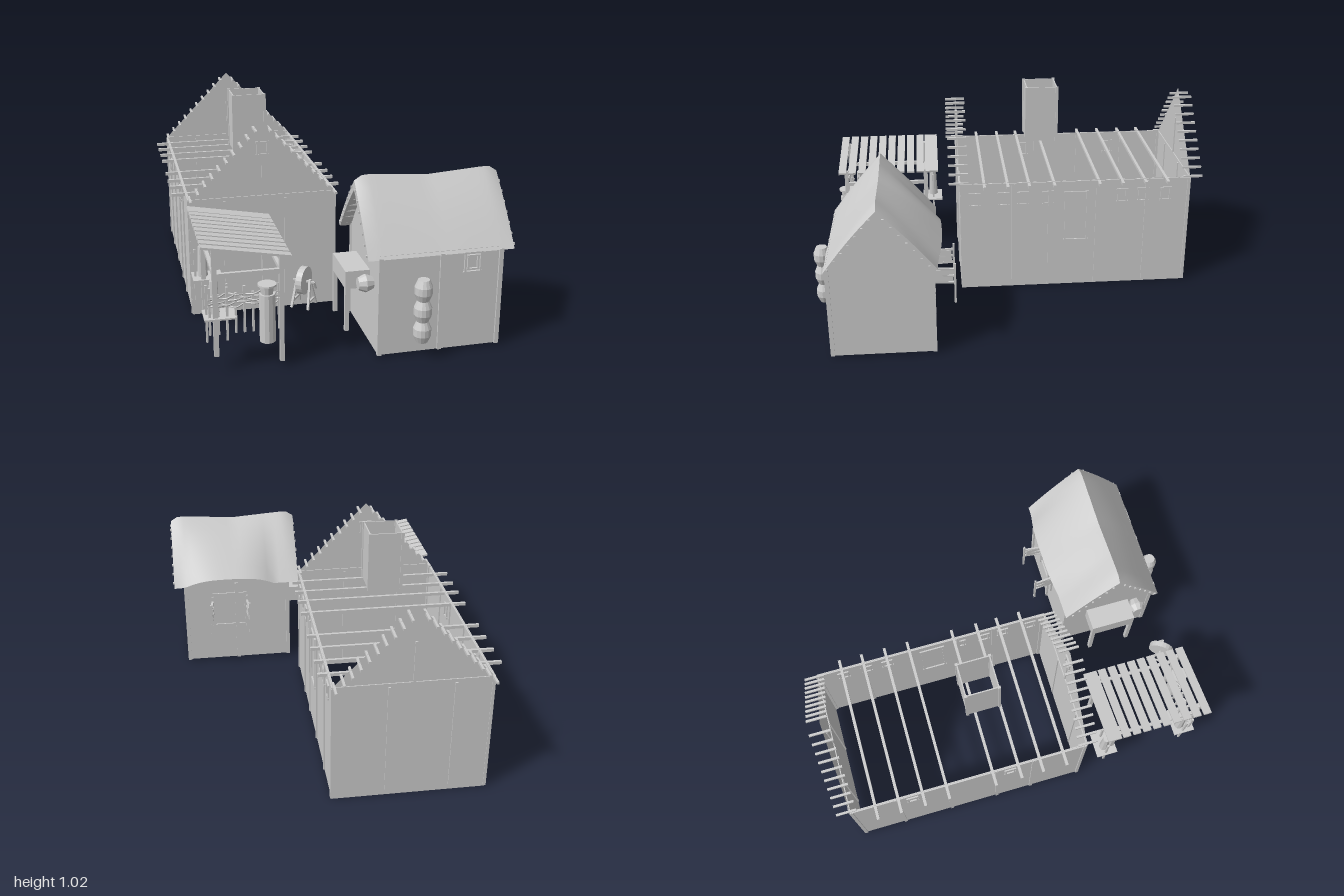
import * as THREE from 'three';
import { toCreasedNormals } from 'three/addons/utils/BufferGeometryUtils.js';

const mat = new THREE.MeshStandardMaterial({ color: 0xcccccc, flatShading: true });
const sheet = new THREE.MeshStandardMaterial({ color: 0xcccccc, side: THREE.DoubleSide });

function group(parent, name, x = 0, y = 0, z = 0) {
  const g = new THREE.Group();
  g.name = name;
  g.position.set(x, y, z);
  parent.add(g);
  return g;
}
function add(parent, name, geo, x = 0, y = 0, z = 0, m = mat) {
  const mesh = new THREE.Mesh(geo, m);
  mesh.name = name;
  mesh.position.set(x, y, z);
  parent.add(mesh);
  return mesh;
}
// box given by its min and max on each axis
function span(parent, name, x0, x1, y0, y1, z0, z1) {
  return add(parent, name, new THREE.BoxGeometry(x1 - x0, y1 - y0, z1 - z0),
    (x0 + x1) / 2, (y0 + y1) / 2, (z0 + z1) / 2);
}
// straight square stick between two points
function stick(parent, name, a, b, t) {
  const p = new THREE.Vector3(...a), q = new THREE.Vector3(...b);
  const m = add(parent, name, new THREE.BoxGeometry(t, p.distanceTo(q), t));
  m.position.lerpVectors(p, q, 0.5);
  m.quaternion.setFromUnitVectors(new THREE.Vector3(0, 1, 0), q.sub(p).normalize());
  return m;
}
// thin flat wall from outline points, facing z or (side) x
function wall(parent, name, pts, at, side) {
  const geo = new THREE.ShapeGeometry(new THREE.Shape(pts.map(p => new THREE.Vector2(...p))));
  if (side) geo.rotateY(-Math.PI / 2);
  add(parent, name, geo, side ? at : 0, 0, side ? 0 : at, sheet);
}
const rect = (a, b, y0, y1) => [[a, y0], [b, y0], [b, y1], [a, y1]];

function windowFrame(parent, x, y, z, w, h, turn = 0) {
  const g = group(parent, 'windowFrame', x, y, z);
  g.rotation.y = turn;
  for (const s of [-1, 1]) {
    add(g, 'jamb', new THREE.BoxGeometry(0.008, h, 0.014), s * (w / 2 - 0.008), 0, 0);
    add(g, 'rail', new THREE.BoxGeometry(w, 0.008, 0.014), 0, s * (h / 2 - 0.004), 0);
  }
}

function house(root) {
  const g = group(root, 'house');
  const L = -0.67, R = 0.05, F = 0.265, B = -0.935, mid = -0.31;
  for (const z of [F, B]) {
    wall(g, 'gableWall', [[L, 0], [R, 0], [R, 0.6], [mid, 0.97], [L, 0.6]], z);
    span(g, 'gableTie', L, R, 0.59, 0.6, z - 0.005, z + 0.005);
    for (const x of [-0.5, -0.2]) span(g, 'gablePost', x - 0.006, x + 0.006, 0.03, 0.58, z - 0.006, z + 0.006);
    span(g, 'kingPost', mid - 0.006, mid + 0.006, 0.6, 0.8, z - 0.006, z + 0.006);
    // purlin stubs along both slopes
    for (let i = 0; i < 10; i++) for (const s of [-1, 1]) {
      const d = 0.035 + i * 0.0355;
      add(g, 'purlinStub', new THREE.BoxGeometry(0.011, 0.011, 0.1), mid + s * d, 0.965 - d * 1.03, z < 0 ? -0.95 : 0.27);
    }
  }
  for (const x of [L, R]) {
    wall(g, 'sideWall', rect(B, F, 0, 0.6), x, true);
    span(g, 'wallPlate', x - 0.006, x + 0.006, 0.585, 0.598, B, F);
    for (const z of [-0.93, -0.71, -0.45, -0.2, -0.01, 0.255])
      span(g, 'wallPost', x - 0.007, x + 0.007, 0.005, 0.59, z - 0.008, z + 0.008);
  }
  for (const z of [-0.81, -0.695, -0.575, -0.455, -0.22, -0.09, 0.02, 0.14])
    span(g, 'tieBeam', -0.74, 0.1, 0.583, 0.598, z - 0.007, z + 0.007);
  // small windows and a door
  windowFrame(g, mid, 0.835, F, 0.065, 0.07);
  for (const z of [0.19, 0.04, -0.06, -0.19, -0.58, -0.69, -0.81]) windowFrame(g, R, 0.51, z, 0.06, 0.075, Math.PI / 2);
  for (const z of [-0.63, -0.13]) windowFrame(g, L, 0.51, z, 0.06, 0.075, Math.PI / 2);
  windowFrame(g, R, 0.4, -0.34, 0.13, 0.28, Math.PI / 2);

  // hollow chimney with corner strips
  const c = group(g, 'chimney', -0.31, 0.868, -0.185);
  for (const s of [-1, 1]) {
    add(c, 'chimneySide', new THREE.BoxGeometry(0.006, 0.295, 0.16), s * 0.079, 0, 0);
    add(c, 'chimneyFace', new THREE.BoxGeometry(0.16, 0.295, 0.006), 0, 0, s * 0.079);
    for (const t of [-1, 1]) add(c, 'chimneyCorner', new THREE.BoxGeometry(0.014, 0.3, 0.014), s * 0.08, 0, t * 0.08);
  }
}

// sagging thatch shell, lifted over the rear windows
function thatch(parent) {
  const N = 20, n = 6, pos = [], idx = [], ring = 4 * n + 2;
  for (let s = 0; s <= N; s++) {
    const u = s / N, x = 0.04 + 0.685 * u, e = Math.abs(2 * u - 1);
    const h = 0.775 + 0.025 * e - 0.03 * Math.pow(e, 16);
    const bump = Math.max(0, 1 - Math.pow(Math.abs(u - 0.56) / 0.36, 3));
    const outer = [];
    for (let i = 0; i <= 2 * n; i++) {
      const t = Math.abs(i / n - 1), f = i < n;
      const z = f ? 0.655 + 0.25 * t : 0.655 - (0.265 + 0.025 * bump) * t;
      const low = f ? 0.475 : 0.475 + 0.05 * bump;
      outer.push([z, h + (low - h) * t + 0.012 * Math.sin(Math.PI * t)]);
    }
    const inner = outer.map(([z, y], i) => {
      const k = 1 - Math.abs(i / n - 1);
      return [z + (z > 0.655 ? -0.025 : 0.025) * (1 - k), y - 0.01 - 0.035 * k];
    }).reverse();
    for (const [z, y] of [...outer, ...inner]) pos.push(x, y, z);
  }
  for (let s = 0; s < N; s++) for (let r = 0; r < ring; r++) {
    const a = s * ring + r, b = s * ring + (r + 1) % ring;
    idx.push(a, a + ring, b, b, a + ring, b + ring);
  }
  for (let r = 0; r < 2 * n; r++) for (const s of [0, N]) {
    const o = s * ring, a = o + r, b = a + 1, c = o + ring - 1 - r, d = c - 1;
    if (s) idx.push(a, c, b, b, c, d); else idx.push(a, b, c, b, d, c);
  }
  const geo = new THREE.BufferGeometry();
  geo.setAttribute('position', new THREE.Float32BufferAttribute(pos, 3));
  geo.setIndex(idx);
  add(parent, 'thatchRoof', toCreasedNormals(geo, 0.7), 0, 0, 0, sheet);
}

function hut(root) {
  const g = group(root, 'hut');
  const L = 0.095, R = 0.67, F = 0.895, B = 0.415;
  wall(g, 'frontWall', rect(L, R, 0.01, 0.49), F);
  wall(g, 'rearWall', rect(L, R, 0.01, 0.5), B);
  for (const x of [L, R]) {
    wall(g, 'endWall', [[B, 0.01], [F, 0.01], [F, 0.48], [0.655, 0.75], [B, 0.48]], x, true);
    for (let i = 0; i < 7; i++) for (const s of [-1, 1]) {
      const d = 0.03 + i * 0.033;
      add(g, 'purlinStub', new THREE.BoxGeometry(0.1, 0.01, 0.01), x < 0.3 ? 0.083 : 0.682, 0.765 - d * 1.2, 0.655 + s * d);
    }
  }
  for (const x of [L + 0.005, 0.385, R - 0.005]) for (const z of [F, B])
    span(g, 'wallPost', x - 0.01, x + 0.01, 0.01, 0.48, z - 0.01, z + 0.01);
  thatch(g);
  windowFrame(g, 0.53, 0.427, F + 0.004, 0.09, 0.1);
  windowFrame(g, 0.53, 0.427, F + 0.004, 0.062, 0.072);

  // rear window with a pair of open shutters
  windowFrame(g, 0.425, 0.32, B, 0.19, 0.2);
  for (const [x, dx] of [[0.33, -0.01], [0.52, 0.012]]) {
    const s = group(g, 'shutter', x, 0, 0.41);
    stick(s, 'shutterStile', [0, 0.19, 0], [0, 0.4, 0], 0.01);
    stick(s, 'shutterEdge', [dx, 0.19, -0.1], [dx, 0.4, -0.1], 0.01);
    for (const y of [0.3, 0.335, 0.37]) stick(s, 'shutterRail', [0, y, 0], [dx, y, -0.1], 0.01);
    span(s, 'shutterPanel', dx / 2 - 0.004, dx / 2 + 0.004, 0.305, 0.365, -0.09, 0);
  }

  // hanging string of three bulging pots
  const prof = [[0, 0]];
  for (let k = 0; k < 3; k++) for (const [r, y] of [[0.027, 0], [0.041, 0.033], [0.041, 0.067], [0.027, 0.1]])
    prof.push([r, y + k * 0.1]);
  prof.push([0, 0.3]);
  add(g, 'potString', new THREE.LatheGeometry(prof.map(p => new THREE.Vector2(...p)), 14), 0.28, 0.09, 0.957);

  // side bench with a small cask
  const b = group(g, 'sideBench');
  span(b, 'benchBox', -0.025, 0.09, 0.29, 0.375, 0.53, 0.765);
  for (const z of [0.54, 0.755]) span(b, 'benchLeg', -0.025, -0.005, 0.08, 0.375, z - 0.01, z + 0.01);
  const cask = [[0, -0.035], [0.028, -0.035], [0.042, 0], [0.028, 0.035], [0, 0.035]];
  add(b, 'cask', new THREE.LatheGeometry(cask.map(p => new THREE.Vector2(...p)), 10), 0.055, 0.332, 0.81).rotation.z = Math.PI / 2;
}

function shed(root) {
  const g = group(root, 'shed');
  // sloping slat roof
  const roof = group(g, 'slatRoof', -0.495, 0.568, 0);
  roof.rotation.z = -0.178;
  for (let i = 0; i < 10; i++)
    add(roof, 'slat', new THREE.BoxGeometry(0.394, 0.01, i ? 0.04 : 0.07), 0, 0, i ? 0.415 + i * 0.0527 : 0.405);
  for (const z of [0.44, 0.87]) {
    span(g, 'tallPost', -0.642, -0.62, 0.08, 0.585, z - 0.01, z + 0.01);
    span(g, 'shortPost', -0.35, -0.33, 0.025, 0.535, z - 0.01, z + 0.01);
    span(g, 'crossBeam', -0.62, -0.35, 0.445, 0.468, z - 0.008, z + 0.008);
    span(g, 'shelf', -0.68, -0.54, 0.256, 0.264, z - 0.09, z + 0.02);
    for (const x of [-0.665, -0.575]) span(g, 'shelfLeg', x - 0.005, x + 0.005, 0.13, 0.4, z - 0.045, z - 0.035);
  }
  for (const x of [-0.631, -0.34]) span(g, 'sideBeam', x - 0.008, x + 0.008, 0.45, 0.468, 0.44, 0.87);
  // wattle fence
  const f = group(g, 'wattleFence', 0, 0, 0.865);
  for (let i = 0; i < 9; i++) {
    const x = -0.655 + i * 0.038;
    span(f, 'stake', x - 0.005, x + 0.005, 0.18, i % 2 ? 0.37 : 0.4, -0.005, 0.005);
  }
  for (let k = 0; k < 5; k++) {
    const pts = [];
    for (let i = 0; i < 9; i++)
      pts.push(new THREE.Vector3(-0.66 + i * 0.04, 0.31 + k * 0.013 + 0.006 * Math.sin(i * 1.7 + k), (i + k) % 2 ? 0.009 : -0.009));
    add(f, 'withe', new THREE.TubeGeometry(new THREE.CatmullRomCurve3(pts), 32, 0.004, 5));
  }
  // tall tub with a collar and small pots
  add(g, 'tub', new THREE.CylinderGeometry(0.036, 0.036, 0.225, 12), -0.405, 0.248, 0.88);
  add(g, 'tubNeck', new THREE.CylinderGeometry(0.032, 0.026, 0.04, 12), -0.405, 0.38, 0.88);
  add(g, 'tubRim', new THREE.CylinderGeometry(0.042, 0.042, 0.008, 12), -0.405, 0.402, 0.88);
  for (const z of [0.4, 0.82]) add(g, 'jar', new THREE.CylinderGeometry(0.018, 0.025, 0.15, 8), -0.63, 0.34, z);
}

function grindstone(root) {
  const g = group(root, 'grindstone', -0.235, 0, 0.84);
  g.rotation.y = 0.95;
  add(g, 'stoneWheel', new THREE.CylinderGeometry(0.062, 0.062, 0.028, 20), 0, 0.388, 0).rotation.x = Math.PI / 2;
  stick(g, 'axle', [0, 0.385, -0.05], [0, 0.385, 0.05], 0.008);
  stick(g, 'crank', [0, 0.385, 0.05], [0.02, 0.35, 0.05], 0.007);
  for (const z of [-0.03, 0.03]) {
    for (const s of [-1, 1]) stick(g, 'standLeg', [s * 0.045, 0.27, z * 1.3], [0, 0.395, z], 0.01);
    stick(g, 'standRail', [-0.035, 0.3, z * 1.2], [0.035, 0.3, z * 1.2], 0.008);
  }
}

export function createModel() {
  const root = new THREE.Group();
  root.name = 'farmstead';
  house(root);
  hut(root);
  shed(root);
  grindstone(root);
  return root;
}
